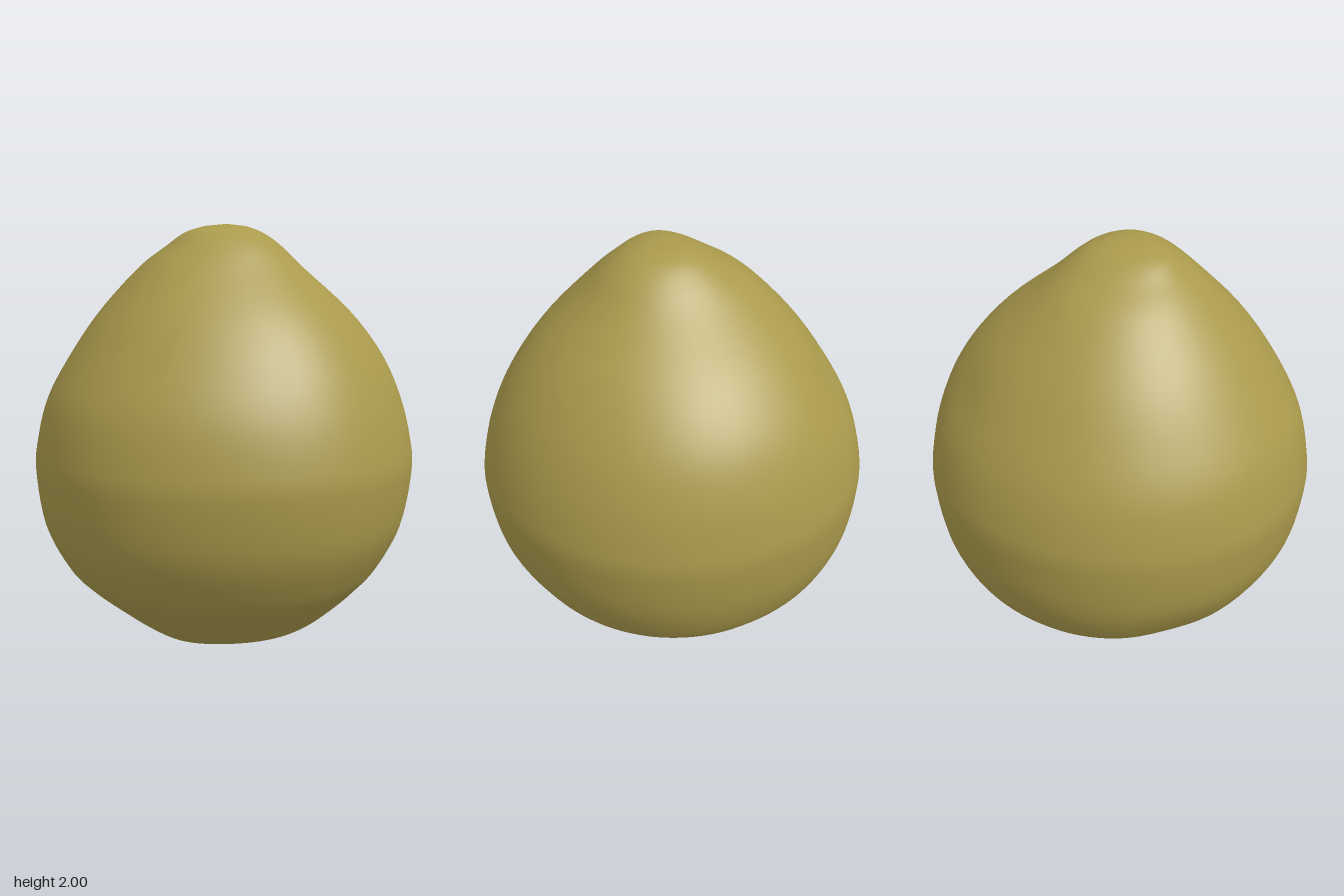
import * as THREE from 'three';

// Cross-sections from base to tip: height, then reach to -x, +x, +z and -z
const SECTIONS = [
  [0.005, 0.28, 0.1, 0.2, 0.06],
  [0.04, 0.40, 0.28, 0.32, 0.22],
  [0.1, 0.48, 0.44, 0.42, 0.47],
  [0.2, 0.60, 0.57, 0.55, 0.575],
  [0.3, 0.71, 0.67, 0.67, 0.69],
  [0.4, 0.80, 0.75, 0.76, 0.78],
  [0.6, 0.88, 0.855, 0.86, 0.86],
  [0.85, 0.905, 0.90, 0.90, 0.90],
  [1.0, 0.89, 0.89, 0.89, 0.89],
  [1.2, 0.83, 0.835, 0.84, 0.845],
  [1.4, 0.72, 0.74, 0.73, 0.755],
  [1.6, 0.58, 0.595, 0.59, 0.59],
  [1.8, 0.39, 0.39, 0.41, 0.35],
  [1.9, 0.245, 0.29, 0.29, 0.24],
  [1.96, 0.14, 0.2, 0.215, 0.16],
  [1.99, 0.045, 0.12, 0.12, 0.08],
];

// Shallow dents: centre, radius, depth
const DENTS = [
  [new THREE.Vector3(-0.56, 1.36, -0.5), 0.16, 0.02],
  [new THREE.Vector3(-0.55, 0.4, 0.5), 0.16, 0.02],
];

// Smooth interpolation of one column of the section table
function sample(column, t) {
  const last = SECTIONS.length - 1;
  const i = Math.min(Math.floor(t), last - 1);
  const f = t - i;
  const at = (k) => SECTIONS[THREE.MathUtils.clamp(k, 0, last)][column];
  const [a, b, c, d] = [at(i - 1), at(i), at(i + 1), at(i + 2)];
  return b + 0.5 * f * (c - a + f * (2 * a - 5 * b + 4 * c - d + f * (3 * (b - c) + d - a)));
}

function bodyPoint(t, angle) {
  const c = Math.cos(angle);
  const s = Math.sin(angle);
  // The outline is a little fuller at back right and flatter at front left
  const diagonal = Math.max(0, Math.sin(2 * angle)) ** 2;
  const scale = 1 + diagonal * (c > 0 ? -0.035 : 0.025);
  const p = new THREE.Vector3(
    c * sample(c > 0 ? 2 : 1, t) * scale,
    sample(0, t),
    s * sample(s > 0 ? 3 : 4, t) * scale,
  );
  for (const [centre, radius, depth] of DENTS) {
    const push = 1 - depth * Math.exp(-p.distanceToSquared(centre) / (radius * radius));
    p.x *= push;
    p.z *= push;
  }
  return p;
}

function bodyGeometry() {
  const rows = 75;
  const cols = 96;
  const positions = [];
  const index = [];
  for (let r = 0; r <= rows; r++) {
    for (let c = 0; c < cols; c++) {
      const p = bodyPoint((r / rows) * (SECTIONS.length - 1), (c / cols) * Math.PI * 2);
      positions.push(p.x, p.y, p.z);
    }
  }
  for (let r = 0; r < rows; r++) {
    for (let c = 0; c < cols; c++) {
      const a = r * cols + c;
      const b = r * cols + ((c + 1) % cols);
      index.push(a, a + cols, b, b, a + cols, b + cols);
    }
  }
  // Close the base and the tip
  const base = positions.length / 3;
  positions.push(-0.09, 0, 0.07, 0.035, 2, 0.02);
  const top = rows * cols;
  for (let c = 0; c < cols; c++) {
    const n = (c + 1) % cols;
    index.push(base, c, n, base + 1, top + n, top + c);
  }
  const geometry = new THREE.BufferGeometry();
  geometry.setAttribute('position', new THREE.Float32BufferAttribute(positions, 3));
  geometry.setIndex(index);
  geometry.computeVertexNormals();
  return geometry;
}

export function createModel() {
  const group = new THREE.Group();
  group.name = 'fruit';
  const skin = new THREE.MeshStandardMaterial({ color: 0xaa9a4c });
  skin.name = 'olive yellow skin';
  const body = new THREE.Mesh(bodyGeometry(), skin);
  body.name = 'body';
  group.add(body);
  return group;
}
